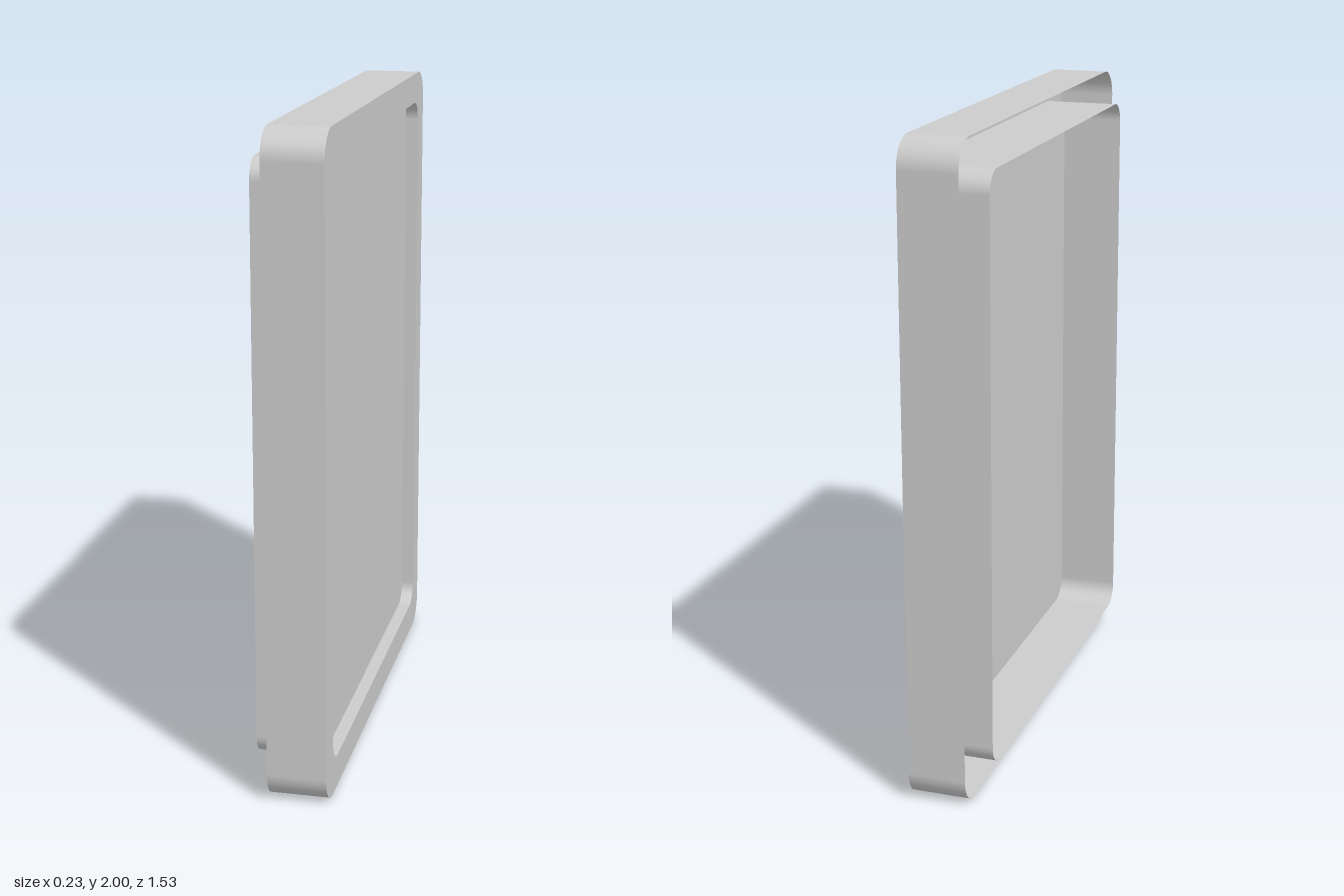
import * as THREE from 'three';

const material = new THREE.MeshStandardMaterial({ color: 0xcccccc, side: THREE.DoubleSide });

// Rounded rectangle, counterclockwise, centred at mid height
function roundedRect(halfW, y0, y1, r, Type = THREE.Shape) {
  const s = new Type();
  s.absarc(halfW - r, y1 - r, r, 0, Math.PI / 2);
  s.absarc(-halfW + r, y1 - r, r, Math.PI / 2, Math.PI);
  s.absarc(-halfW + r, y0 + r, r, Math.PI, Math.PI * 1.5);
  s.absarc(halfW - r, y0 + r, r, Math.PI * 1.5, Math.PI * 2);
  s.closePath();
  return s;
}

// Thin open-ended wall following an outline
function wallGeometry(outline, z0, z1) {
  const pts = outline.getPoints(10);
  if (pts[0].distanceTo(pts[pts.length - 1]) < 1e-6) pts.pop();
  const n = pts.length, pos = [], idx = [];
  pts.forEach((p) => pos.push(p.x, p.y, z0, p.x, p.y, z1));
  for (let i = 0; i < n; i++) {
    const a = 2 * i, b = 2 * ((i + 1) % n);
    idx.push(a, b, b + 1, a, b + 1, a + 1);
  }
  const g = new THREE.BufferGeometry();
  g.setAttribute('position', new THREE.Float32BufferAttribute(pos, 3));
  g.setIndex(idx);
  g.computeVertexNormals();
  return g;
}

export function createModel() {
  const group = new THREE.Group();
  group.name = 'framedPanel';

  const add = (name, geometry) => {
    geometry.rotateY(Math.PI / 2); // depth axis becomes x
    const mesh = new THREE.Mesh(geometry, material);
    mesh.name = name;
    group.add(mesh);
  };

  const face = 0.117;
  const outer = () => roundedRect(0.765, 0, 2, 0.09);
  const inner = (Type) => roundedRect(0.67, 0.098, 1.904, 0.065, Type);

  // Flat border around the opening
  const border = outer();
  border.holes.push(inner(THREE.Path));
  add('frontBorder', new THREE.ShapeGeometry(border, 10));

  // Border sits at the face plane
  group.children[0].geometry.translate(face, 0, 0);

  // Outer skirt, hollow behind the border
  add('outerWall', wallGeometry(outer(), -0.063, face));

  // Deeper inner sleeve
  add('innerWall', wallGeometry(inner(), -0.118, face));

  // Recessed panel across the sleeve
  const panel = new THREE.ShapeGeometry(inner(), 10);
  panel.translate(0, 0, 0.077);
  add('recessedPanel', panel);

  return group;
}
